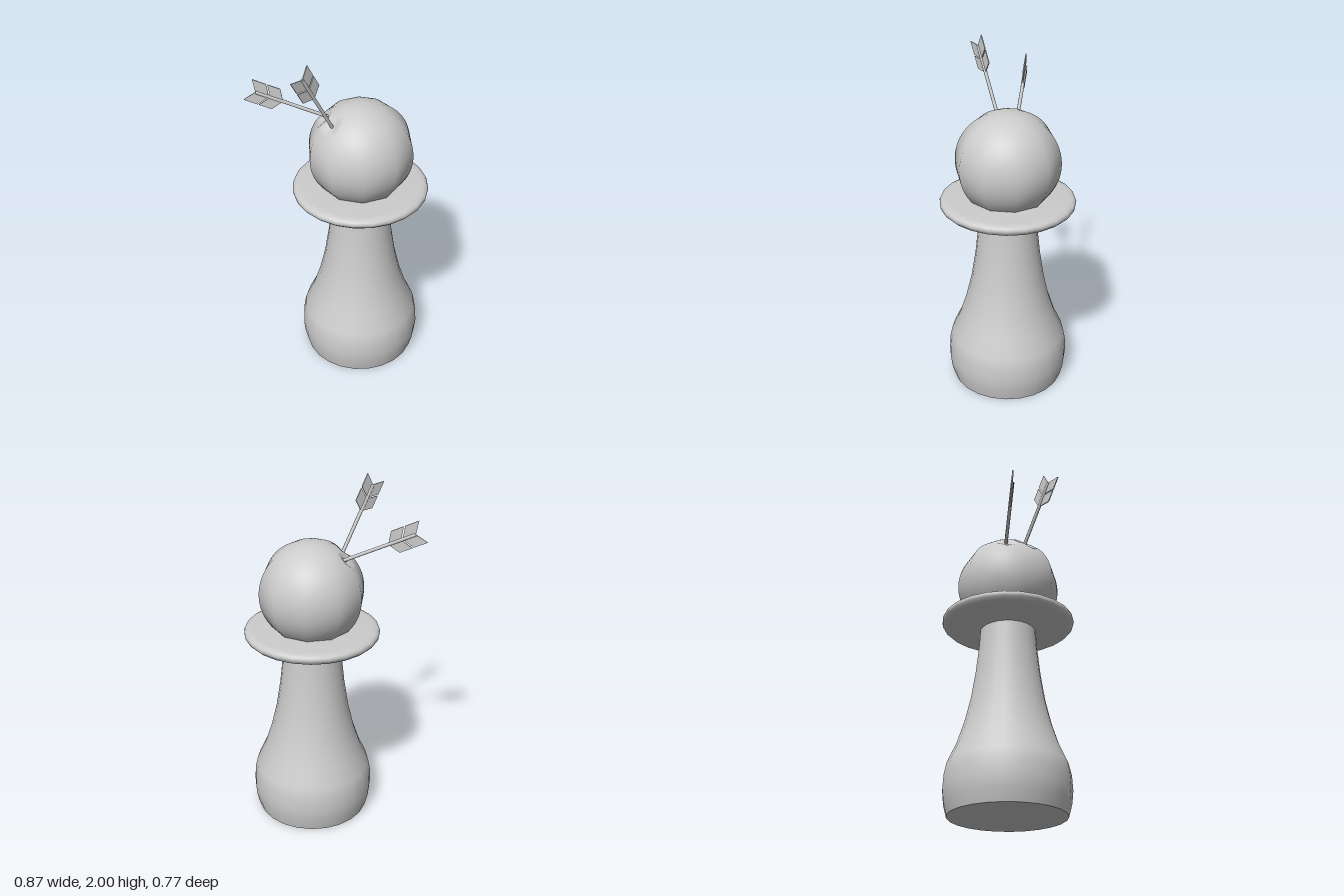
import * as THREE from 'three';

const material = new THREE.MeshStandardMaterial({ color: 0xcccccc });
const thinMaterial = new THREE.MeshStandardMaterial({ color: 0xcccccc, side: THREE.DoubleSide });
const SIDES = 24;

function addMesh(parent, name, geometry, mat = material) {
  const mesh = new THREE.Mesh(geometry, mat);
  mesh.name = name;
  parent.add(mesh);
  return mesh;
}

const lathe = (points) =>
  new THREE.LatheGeometry(points.map(([r, y]) => new THREE.Vector2(r, y)), SIDES);

// Ball with a ten-sided plan and shallow dents where the arrows strike
function headGeometry(radius, dents) {
  const geometry = new THREE.SphereGeometry(radius, 60, 40);
  const pos = geometry.attributes.position;
  const smooth = geometry.attributes.normal.clone();
  const step = Math.PI / 5;
  const dented = new Set();
  const v = new THREE.Vector3();
  for (let i = 0; i < pos.count; i++) {
    v.fromBufferAttribute(pos, i);
    // Corners of the decagon lie on the z axis
    const angle = Math.atan2(v.x, v.z) + Math.PI * 2;
    const k = Math.cos(step / 2) / Math.cos((angle % step) - step / 2);
    v.x *= k;
    v.z *= k;
    for (const dent of dents) {
      const t = v.distanceTo(dent) / 0.065;
      if (t < 1) {
        v.multiplyScalar(1 - 0.09 * (1 - t));
        dented.add(i);
      }
    }
    pos.setXYZ(i, v.x, v.y, v.z);
  }
  geometry.computeVertexNormals();
  const normal = geometry.attributes.normal;
  for (let i = 0; i < pos.count; i++) {
    if (!dented.has(i)) normal.setXYZ(i, smooth.getX(i), smooth.getY(i), smooth.getZ(i));
  }
  return geometry;
}

// One swept-back feather, drawn along the shaft (y) and out to the side (x)
function featherGeometry(side, inner0, inner1, outer0, outer1) {
  const shape = new THREE.Shape([
    new THREE.Vector2(0, inner0),
    new THREE.Vector2(side * 0.064, outer0),
    new THREE.Vector2(side * 0.064, outer1),
    new THREE.Vector2(0, inner1),
  ]);
  const geometry = new THREE.ExtrudeGeometry(shape, { depth: 0.006, bevelEnabled: false });
  return geometry.translate(0, 0, -0.003);
}

// Arrow pointing from its entry point to its tail, with feathers in an upright plane
function createArrow(name, entry, tail) {
  const arrow = new THREE.Group();
  arrow.name = name;
  const along = tail.clone().sub(entry).normalize();
  const face = new THREE.Vector3().crossVectors(along, new THREE.Vector3(0, 1, 0)).normalize();
  const across = new THREE.Vector3().crossVectors(along, face);
  arrow.quaternion.setFromRotationMatrix(new THREE.Matrix4().makeBasis(across, along, face));
  arrow.position.copy(entry);

  addMesh(arrow, 'arrowShaft',
    new THREE.CylinderGeometry(0.01, 0.01, 0.45, 8).translate(0, 0.145, 0));
  for (const side of [-1, 1]) {
    addMesh(arrow, 'frontFeather', featherGeometry(side, 0.215, 0.287, 0.255, 0.327), thinMaterial);
    addMesh(arrow, 'rearFeather', featherGeometry(side, 0.295, 0.37, 0.335, 0.412), thinMaterial);
  }
  return arrow;
}

export function createModel() {
  const model = new THREE.Group();
  model.name = 'pawnWithArrows';

  const pawn = new THREE.Group();
  pawn.name = 'pawn';
  pawn.position.set(0.07, 0, 0.013);
  model.add(pawn);

  // Body swelling towards the foot
  addMesh(pawn, 'body', lathe([
    [0.327, 0], [0.345, 0.07], [0.352, 0.14], [0.347, 0.22], [0.333, 0.285],
    [0.285, 0.39], [0.243, 0.52], [0.21, 0.66], [0.185, 0.82], [0.168, 0.98], [0.16, 1.1],
  ]));
  addMesh(pawn, 'baseCap', new THREE.CircleGeometry(0.327, SIDES).rotateX(Math.PI / 2));

  // Collar disc with a rounded rim
  addMesh(pawn, 'collar', lathe([
    [0.15, 1.085], [0.2, 1.097], [0.34, 1.108], [0.365, 1.115], [0.38, 1.13], [0.383, 1.145],
    [0.378, 1.158], [0.362, 1.167], [0.34, 1.17], [0.2, 1.178], [0, 1.18],
  ]));

  // Head
  const center = new THREE.Vector3(0, 1.375, 0);
  const entryA = new THREE.Vector3(-0.12, 1.61, -0.015);
  const entryB = new THREE.Vector3(-0.085, 1.597, -0.137);
  const dents = [entryA, entryB].map((entry) =>
    entry.clone().sub(pawn.position).sub(center).setLength(0.29));
  addMesh(pawn, 'head', headGeometry(0.296, dents)).position.copy(center);

  // Arrows stuck in the head
  model.add(createArrow('steepArrow', entryA, new THREE.Vector3(-0.32, 1.968, 0.003)));
  model.add(createArrow('slantedArrow', entryB, new THREE.Vector3(-0.43, 1.78, -0.387)));
  return model;
}
